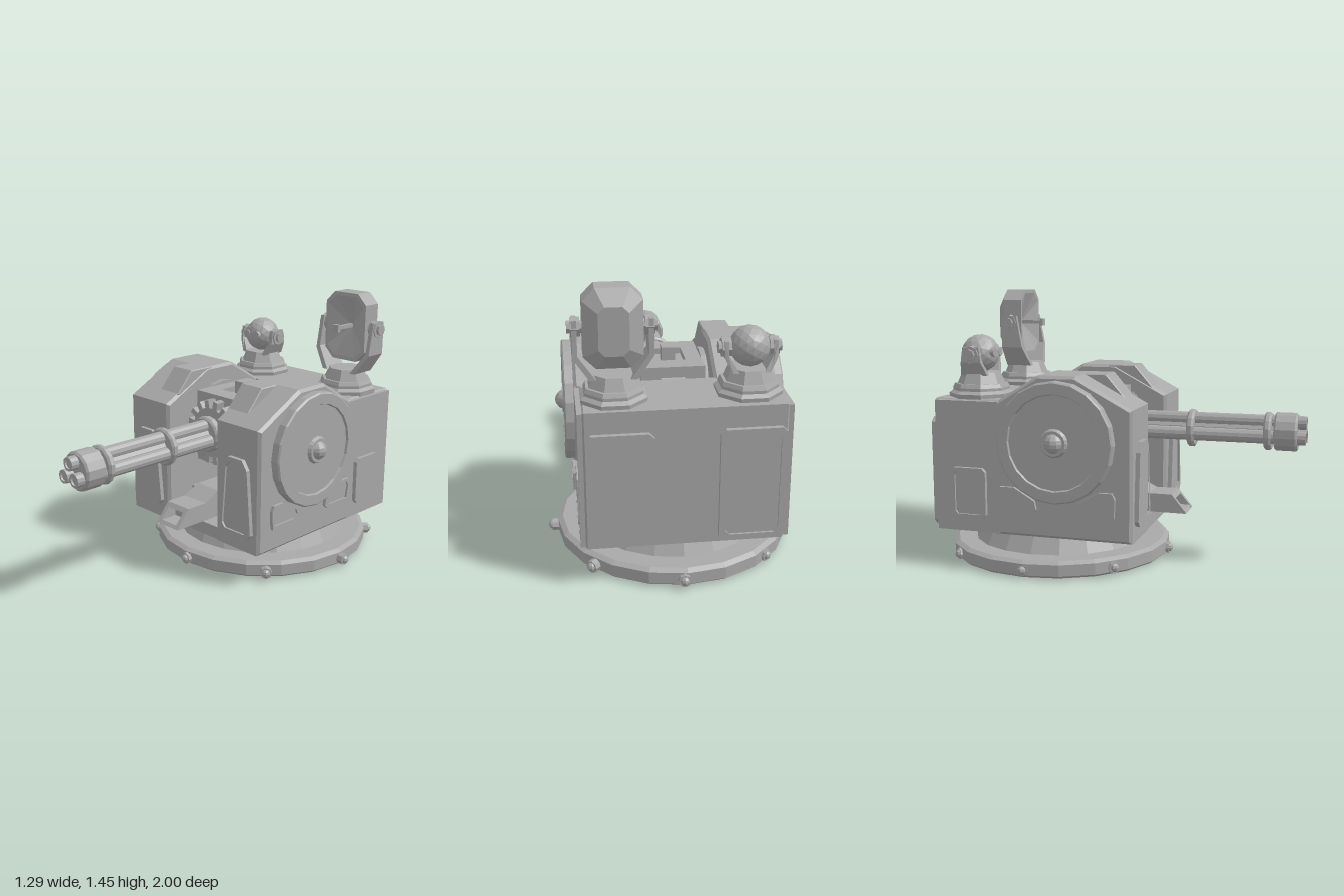
import * as THREE from 'three';

export function createModel() {
  const root = new THREE.Group();
  root.name = 'gunTurret';
  const turret = new THREE.Group();
  turret.name = 'turret';
  turret.position.x = -0.016;
  root.add(turret);
  const grey = new THREE.MeshStandardMaterial({ color: 0xa8a8a8 });
  grey.name = 'plainGrey';

  // Faceted mesh helper
  function add(name, geo, x = 0, y = 0, z = 0, parent = turret) {
    const g = geo.index ? geo.toNonIndexed() : geo;
    g.computeVertexNormals();
    const m = new THREE.Mesh(g, grey);
    m.name = name;
    m.position.set(x, y, z);
    parent.add(m);
    return m;
  }
  const box = (name, w, h, d, x, y, z) => add(name, new THREE.BoxGeometry(w, h, d), x, y, z);
  const shapeOf = pts => new THREE.Shape(pts.map(p => new THREE.Vector2(p[0], p[1])));
  const cylX = (r, len, n) => new THREE.CylinderGeometry(r, r, len, n).rotateZ(Math.PI / 2);
  const cylZ = (r, len, n) => new THREE.CylinderGeometry(r, r, len, n).rotateX(Math.PI / 2);
  const lathe = (pts, n) => new THREE.LatheGeometry(pts.map(p => new THREE.Vector2(p[0], p[1])), n);

  // Side profile in (z, y), extruded from x0 to x1 with chamfered edges and an optional hole
  function slab(name, pts, x0, x1, b = 0.015, hole = null) {
    const shape = shapeOf(pts.map(p => [-p[0], p[1]]));
    if (hole) shape.holes.push(shapeOf(hole.map(p => [-p[0], p[1]])));
    const geo = new THREE.ExtrudeGeometry(shape, {
      depth: x1 - x0 - 2 * b, bevelEnabled: b > 0, bevelSize: b, bevelThickness: b, bevelOffset: -b, bevelSegments: 1,
    });
    geo.translate(0, 0, x0 + b).rotateY(Math.PI / 2);
    return add(name, geo);
  }

  // Cover plate with raised rim; points lie in the plane of the face
  function panel(name, pts, rotY, x, z, rim = 0.022) {
    const g = new THREE.Group();
    g.name = name;
    g.rotation.y = rotY;
    g.position.set(x, 0, z);
    turret.add(g);
    const xs = pts.map(p => p[0]), ys = pts.map(p => p[1]);
    const cx = (Math.min(...xs) + Math.max(...xs)) / 2, cy = (Math.min(...ys) + Math.max(...ys)) / 2;
    const fx = 1 - 2 * rim / (Math.max(...xs) - Math.min(...xs)), fy = 1 - 2 * rim / (Math.max(...ys) - Math.min(...ys));
    const inner = pts.map(p => [cx + (p[0] - cx) * fx, cy + (p[1] - cy) * fy]);
    const frame = shapeOf(pts);
    frame.holes.push(shapeOf(inner));
    add('panelRim', new THREE.ExtrudeGeometry(frame, { depth: 0.025, bevelEnabled: false }), 0, 0, 0, g);
    add('panelPlate', new THREE.ExtrudeGeometry(shapeOf(inner), { depth: 0.014, bevelEnabled: false }), 0, 0, 0, g);
  }
  const rect = (x0, x1, y0, y1) => [[x0, y0], [x1, y0], [x1, y1], [x0, y1]];
  const chamferRect = (x0, x1, y0, y1, c) => [[x0 + c, y0], [x1 - c, y0], [x1, y0 + c], [x1, y1 - c],
    [x1 - c, y1], [x0 + c, y1], [x0, y1 - c], [x0, y0 + c]];

  // Hollow round foot with bolts
  const footZ = -0.357;
  add('foot', lathe([[0, 0.2], [0.4, 0.12], [0.555, 0.04], [0.575, 0.008], [0.595, 0.012], [0.61, 0.025], [0.61, 0.085],
    [0.585, 0.1], [0.485, 0.1], [0.425, 0.22], [0, 0.22]], 20), 0, 0, footZ);
  for (let i = 0; i < 8; i++) {
    const a = i * Math.PI / 4;
    const bolt = new THREE.Group();
    bolt.name = 'footBolt';
    bolt.position.set(0.016 + Math.sin(a) * 0.605, 0.05, footZ + Math.cos(a) * 0.605);
    bolt.rotation.y = a;
    turret.add(bolt);
    add('boltShaft', cylZ(0.01, 0.12, 6), 0, -0.01, -0.04, bolt);
    add('boltCollar', cylZ(0.032, 0.04, 8), 0, 0, 0, bolt);
    add('boltHead', new THREE.SphereGeometry(0.024, 8, 6), 0, 0, 0.016, bolt);
  }

  // Hull: rear block with recessed sides, channel floor and two cheeks
  slab('rearHull', rect(-0.88, -0.5, 0.2, 0.905), -0.49, 0.49);
  box('channelFloor', 0.42, 0.07, 0.7, 0, 0.236, -0.155);
  for (const s of [-1, 1]) {
    const range = (a, b) => (s > 0 ? [a, b] : [-b, -a]);
    slab('cheek', [[0.2, 0.2], [0.2, 0.88], [-0.1, 1.04], [-0.3, 1.04], [-0.52, 0.905], [-0.54, 0.905], [-0.54, 0.2]],
      ...range(0.19, 0.507));
    slab('sideSkin', rect(-0.872, -0.52, 0.207, 0.898), ...range(0.47, 0.507), 0, rect(-0.812, -0.562, 0.25, 0.82));
    slab('cheekRidge', [[-0.14, 0.95], [-0.14, 1.04], [0.016, 1.04], [0.12, 0.92], [0.1, 0.9]], ...range(0.195, 0.345), 0.005);

    // Side wheel cover
    const disc = add('wheelCover', lathe([[0, -0.02], [0.313, -0.02], [0.313, 0.042], [0.305, 0.05], [0.25, 0.05],
      [0.245, 0.038], [0.075, 0.038], [0.065, 0.055], [0, 0.055]], 20), s * 0.507, 0.705, -0.2);
    disc.rotation.z = -s * Math.PI / 2;
    add('wheelHub', new THREE.SphereGeometry(0.052, 10, 8), s * 0.547, 0.705, -0.2);

    // Covers on the sides, front and back
    const side = pts => pts.map(p => [-s * p[0], p[1]]);
    const rot = s * Math.PI / 2, sx = s * 0.5;
    panel('frontSideHatch', side([[0.11, 0.33], [-0.07, 0.33], [-0.1, 0.36], [-0.09, 0.395], [0.03, 0.46], [0.1, 0.46], [0.115, 0.43]]), rot, sx, 0, 0.018);
    panel('middleSideHatch', side([[-0.31, 0.35], [-0.33, 0.33], [-0.51, 0.33], [-0.525, 0.43], [-0.51, 0.46], [-0.43, 0.46], [-0.32, 0.395]]), rot, sx, 0, 0.018);
    panel('rearSideHatch', side(chamferRect(-0.79, -0.595, 0.275, 0.545, 0.02)), rot, s * 0.488, 0);
    panel('frontCover', [[0.26, 0.28], [0.44, 0.28], [0.468, 0.31], [0.44, 0.66], [0.405, 0.71], [0.305, 0.71], [0.27, 0.67], [0.235, 0.31]]
      .map(p => [s * p[0], p[1]]), 0, 0, 0.198, 0.025);
    panel('backCover', chamferRect(0.155, 0.475, 0.22, 0.8, 0.025).map(p => [s * p[0], p[1]]), Math.PI, 0, -0.886, 0.03);
  }

  // Shell chute: wide feed box behind, narrow open-mouthed spout in front
  slab('chuteBox', rect(-0.3, 0.05, 0.27, 0.38), -0.16, 0.16, 0);
  slab('chuteFloor', [[0, 0.271], [0.38, 0.271], [0.365, 0.288], [0, 0.288]], -0.083, 0.083, 0);
  for (const [x0, x1] of [[-0.083, -0.058], [0.058, 0.083]])
    slab('chuteWall', [[0, 0.275], [0.38, 0.275], [0.3, 0.372], [0, 0.372]], x0, x1, 0);
  slab('chuteRoof', [[0, 0.28], [0.27, 0.28], [0.27, 0.35], [0.318, 0.35], [0.3, 0.372], [0, 0.372]], -0.06, 0.06, 0);
  slab('chuteHood', [[-0.3, 0.36], [0.2, 0.36], [0.08, 0.42], [-0.3, 0.42]], -0.083, 0.083, 0);

  // Gun housing with trunnions and recessed ports above and below
  const gy = 0.73;
  box('gunHousing', 0.332, 0.34, 0.4, 0, gy, -0.2);
  const back = add('housingBack', new THREE.CylinderGeometry(0.115, 0.16, 0.07, 8).rotateY(Math.PI / 8), 0, gy, -0.43);
  back.rotation.x = -Math.PI / 2;
  for (const s of [-1, 1]) {
    add('trunnion', cylX(0.19, 0.035, 16), s * 0.18, 0.765, -0.2);
    const port = shapeOf(rect(-0.166, 0.166, -0.2, 0.2));
    port.holes.push(shapeOf(rect(-0.08, 0.08, -0.095, 0.095)));
    const frame = new THREE.ExtrudeGeometry(port, { depth: 0.034, bevelEnabled: false });
    add('housingPort', frame, 0, gy + s * 0.168, -0.2).rotation.x = -s * Math.PI / 2;
    box('housingKnob', 0.07, 0.1, 0.07, 0, gy + s * 0.2, -0.2);
  }

  // Toothed drive wheel
  const teeth = 16, gear = [];
  for (let i = 0; i < teeth; i++)
    for (const [o, r] of [[-0.29, 0.14], [-0.22, 0.183], [0.22, 0.183], [0.29, 0.14]]) {
      const a = (i + 0.5 + o) / teeth * Math.PI * 2;
      gear.push([Math.cos(a) * r, Math.sin(a) * r]);
    }
  add('driveGear', new THREE.ExtrudeGeometry(shapeOf(gear), { depth: 0.055, bevelEnabled: false }), 0, gy, 0);

  // Three rotating barrels with collars and muzzle
  for (let i = 0; i < 3; i++) {
    const a = Math.PI / 2 + i * Math.PI * 2 / 3;
    const bx = Math.cos(a) * 0.05, by = gy + Math.sin(a) * 0.05;
    add('barrel', cylZ(0.036, 0.95, 12), bx, by, 0.515);
    const tip = new THREE.Shape().absarc(0, 0, 0.036, 0, Math.PI * 2);
    tip.holes.push(new THREE.Path().absarc(0, 0, 0.025, 0, Math.PI * 2, true));
    add('barrelTip', new THREE.ExtrudeGeometry(tip, { depth: 0.012, bevelEnabled: false, curveSegments: 6 }), bx, by, 0.988);
  }
  add('barrelCore', cylZ(0.045, 0.9, 10), 0, gy, 0.5);
  const collar = (z, r, len) => add('barrelCollar', lathe([[0, -len / 2], [r * 0.9, -len / 2], [r, -len / 2 + 0.01],
    [r, len / 2 - 0.01], [r * 0.9, len / 2], [0, len / 2]], 14).rotateX(Math.PI / 2), 0, gy, z);
  collar(0.08, 0.1, 0.05);
  collar(0.395, 0.102, 0.038);
  collar(0.803, 0.102, 0.038);
  collar(0.897, 0.102, 0.12);

  // Roof mounts with yokes
  function mount(x, z, arm, pivotX, pivotY, pivotZ) {
    add('mountBase', lathe([[0, 0.88], [0.165, 0.88], [0.17, 0.925], [0.15, 0.94], [0.15, 0.955], [0.14, 0.975],
      [0.125, 0.975], [0.1, 1.035], [0, 1.035]], 8).rotateY(Math.PI / 8), x, 0, z);
    for (const s of [-1, 1]) {
      const geo = new THREE.ExtrudeGeometry(shapeOf(arm.map(p => [s * p[0], p[1]])), { depth: 1, bevelEnabled: false });
      const p = geo.attributes.position;
      for (let i = 0; i < p.count; i++) { // lean and narrow the arm towards its pivot
        const t = Math.max(0, Math.min(1, (p.getY(i) - 1.02) / (pivotY - 1.02)));
        p.setZ(i, (p.getZ(i) - 0.5) * (0.15 - 0.06 * t) + (pivotZ - z) * t);
      }
      add('yokeArm', geo, x, 0, z);
      add('pivotBolt', cylX(0.047, 0.045, 8), x + s * pivotX, pivotY, pivotZ);
      add('pivotCap', cylX(0.03, 0.075, 8), x + s * pivotX, pivotY, pivotZ);
    }
  }

  // Ball sensor
  const ex = -0.323, ez = -0.69;
  mount(ex, ez, [[0.06, 1.02], [0.09, 1.02], [0.128, 1.09], [0.128, 1.17], [0.108, 1.17], [0.108, 1.1]], 0.115, 1.13, ez);
  add('sensorBall', new THREE.IcosahedronGeometry(0.1, 2), ex, 1.133, ez);
  for (const s of [-1, 1]) add('sensorLens', cylZ(0.024, 0.03, 12), ex + s * 0.037, 1.14, ez + 0.084);

  // Dish sensor lofted from eight-sided loops
  const dx = 0.328, dy = 1.27;
  mount(dx, -0.7, [[0.08, 1.02], [0.112, 1.02], [0.186, 1.13], [0.186, 1.31], [0.163, 1.31], [0.163, 1.14]], 0.17, dy, -0.73);
  const loops = [[-0.835, 0, 0], [-0.835, 0.07, 0.115], [-0.78, 0.138, 0.19], [-0.672, 0.138, 0.19], [-0.672, 0.122, 0.17], [-0.735, 0, 0]]
    .map(([z, w, h]) => {
      const c = w * 0.42;
      return [[w, -h + c], [w, h - c], [w - c, h], [-w + c, h], [-w, h - c], [-w, -h + c], [-w + c, -h], [w - c, -h]].map(p => [p[0], p[1], z]);
    });
  const pos = [];
  for (let k = 0; k + 1 < loops.length; k++)
    for (let i = 0; i < 8; i++) {
      const j = (i + 1) % 8, [a, b] = [loops[k], loops[k + 1]];
      pos.push(...a[i], ...a[j], ...b[j], ...a[i], ...b[j], ...b[i]);
    }
  const dish = new THREE.BufferGeometry();
  dish.setAttribute('position', new THREE.Float32BufferAttribute(pos, 3));
  add('dish', dish, dx, dy, 0);
  box('dishRod', 0.02, 0.02, 0.14, dx, dy, -0.67);
  box('dishFeed', 0.042, 0.042, 0.02, dx, dy, -0.595);

  return root;
}
